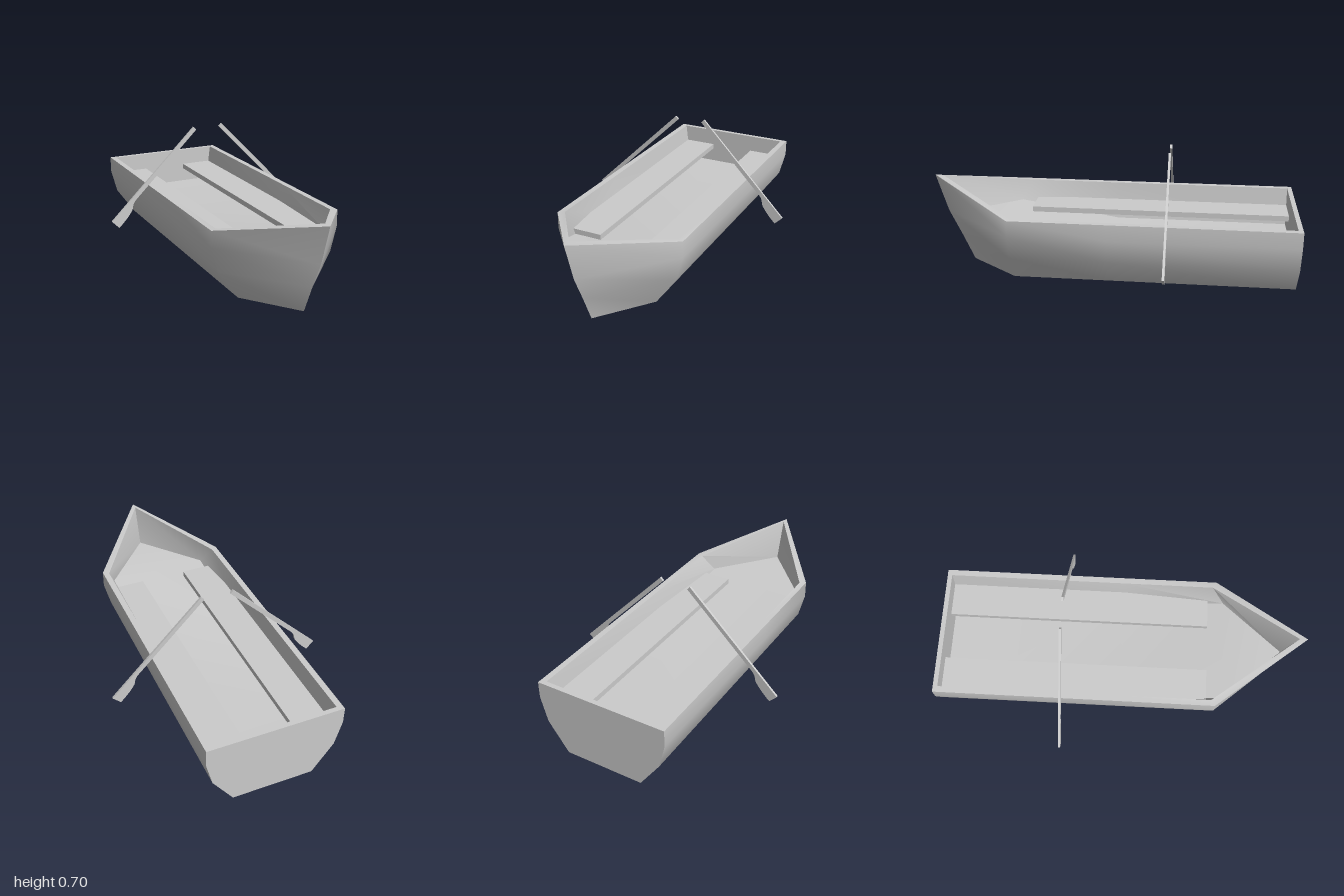
import * as THREE from 'three';
import { toCreasedNormals } from 'three/addons/utils/BufferGeometryUtils.js';

const material = new THREE.MeshStandardMaterial({ color: 0xcccccc });

function addMesh(parent, name, geometry) {
  const mesh = new THREE.Mesh(geometry, material);
  mesh.name = name;
  parent.add(mesh);
  return mesh;
}

// One horizontal outline: stern, midship, shoulder, bow, then mirrored back.
// w = half widths, z and y = values at the four stations.
function outline(w, z, y) {
  return [0, 1, 2, 3, 2, 1, 0].map((s, j) => {
    const x = s === 3 ? 0 : w[s];
    return [j > 3 ? -x : x, y[s], z[s]];
  });
}

// Hull shell: up the outside, over the rim, down the inside to the floor.
function hullGeometry() {
  const outer = (w, y, bowZ, bowY = y) =>
    outline([w, w, w], [-1, 0, 0.52, bowZ], [y, y, y, bowY]);
  const rings = [
    outer(0.215, 0, 0.8),
    outer(0.325, 0.155, 0.87),
    outer(0.36, 0.29, 0.935),
    outer(0.36, 0.38, 1, 0.5),
    outline([0.328, 0.328, 0.328], [-0.975, 0, 0.5, 0.957], [0.38, 0.38, 0.38, 0.5]),
    outline([0.3, 0.3, 0.28], [-0.975, 0, 0.57, 0.89], [0.17, 0.17, 0.27, 0.28]),
  ];
  const positions = [];
  const tri = (...corners) => corners.forEach((c) => positions.push(...c));

  // Walls between neighbouring outlines
  for (let k = 0; k < rings.length - 1; k++) {
    for (let j = 0; j < 7; j++) {
      const n = (j + 1) % 7;
      const a = rings[k][j], b = rings[k][n], c = rings[k + 1][n], d = rings[k + 1][j];
      tri(a, c, b);
      tri(a, d, c);
    }
  }

  // Bottom and inner floor, spanned from side to side
  const span = (ring, up) => {
    for (let j = 0; j < 3; j++) {
      const p = ring[j], p2 = ring[j + 1], q = ring[6 - j], q2 = ring[5 - j];
      up ? tri(q, p2, p) : tri(q, p, p2);
      if (j < 2) up ? tri(q, q2, p2) : tri(q, p2, q2);
    }
  };
  span(rings[0], false);
  span(rings[rings.length - 1], true);

  const geometry = new THREE.BufferGeometry();
  geometry.setAttribute('position', new THREE.Float32BufferAttribute(positions, 3));
  return toCreasedNormals(geometry, THREE.MathUtils.degToRad(45));
}

// Flat oar running along +x, blade widening on the lower edge
function oarGeometry() {
  const shape = new THREE.Shape();
  shape.moveTo(0, 0);
  shape.lineTo(0, -0.023);
  shape.lineTo(0.525, -0.023);
  shape.bezierCurveTo(0.565, -0.024, 0.565, -0.045, 0.595, -0.05);
  shape.quadraticCurveTo(0.64, -0.06, 0.707, -0.058);
  shape.lineTo(0.707, 0);
  shape.closePath();
  const depth = 0.012;
  const geometry = new THREE.ExtrudeGeometry(shape, { depth, bevelEnabled: false, curveSegments: 8 });
  geometry.translate(0, 0, -depth / 2);
  return toCreasedNormals(geometry, THREE.MathUtils.degToRad(40));
}

export function createModel() {
  const boat = new THREE.Group();
  boat.name = 'rowingBoat';

  addMesh(boat, 'hull', hullGeometry());

  // Long side benches
  for (const [name, side] of [['leftBench', 1], ['rightBench', -1]]) {
    const bench = addMesh(boat, name, new THREE.BoxGeometry(0.185, 0.03, 1.455));
    bench.position.set(side * 0.2225, 0.268, -0.2475);
  }

  // Oars leaning over the rims
  const oar = oarGeometry();
  const leftOar = addMesh(boat, 'leftOar', oar);
  leftOar.position.set(0.093, 0.697, -0.31);
  leftOar.rotation.z = -0.8;

  const rightOar = addMesh(boat, 'rightOar', oar);
  rightOar.position.set(-0.083, 0.692, -0.31);
  rightOar.rotation.set(0, Math.PI, -0.773, 'YXZ');

  return boat;
}
